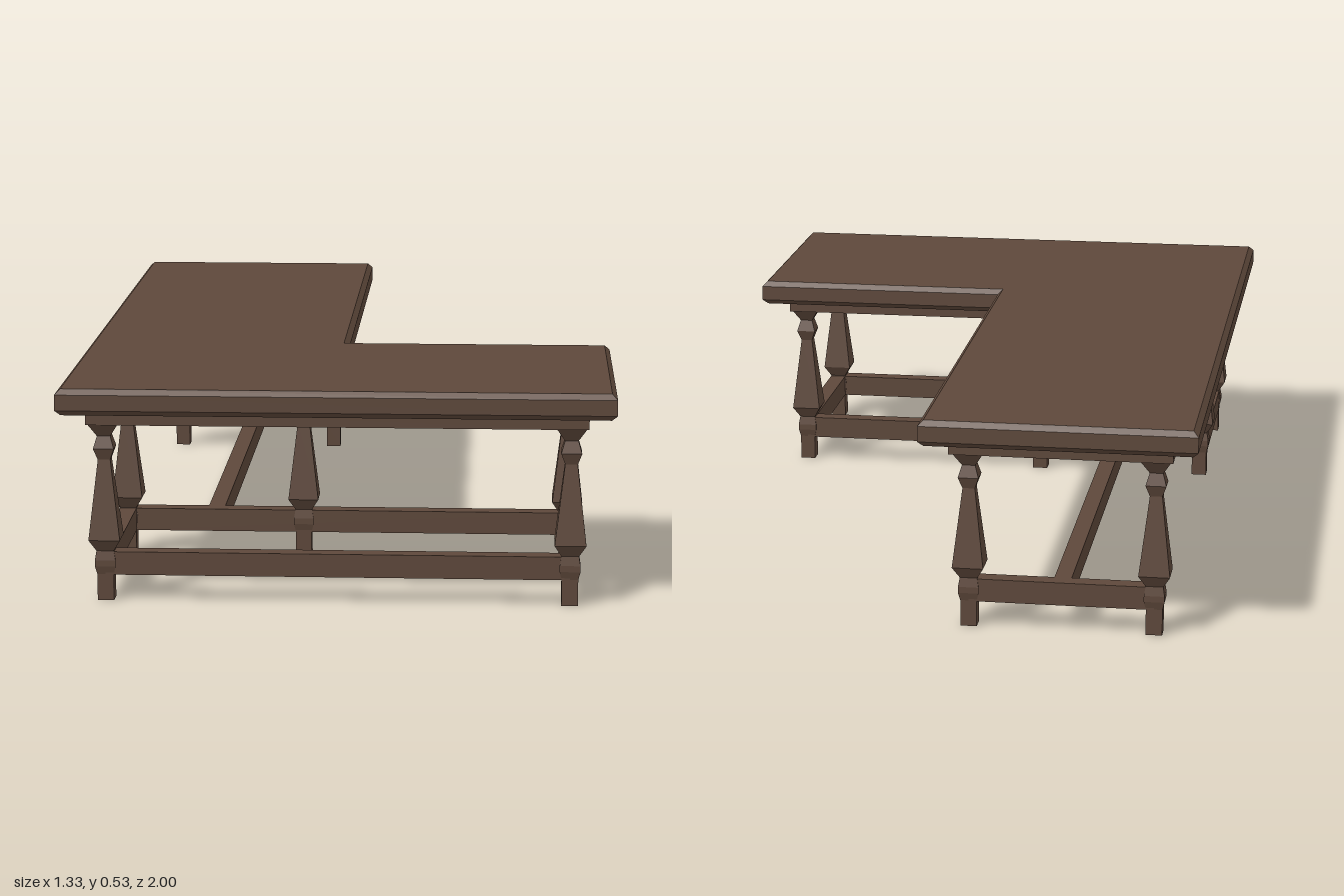
import * as THREE from 'three';

const wood = new THREE.MeshStandardMaterial({ color: 0x5e483b, flatShading: true });

// L-shaped slab from y = bottom to y = top, pulled in from the outer outline by inset
function slab(name, bottom, top, inset, bevel) {
  const w = 0.665 - inset, d = 1 - inset, ix = -inset, iz = 0.335 + inset;
  const outline = [[-w, -d], [ix, -d], [ix, iz], [w, iz], [w, d], [-w, d]];
  const shape = new THREE.Shape(outline.map(([x, z]) => new THREE.Vector2(x, z)));
  const geo = new THREE.ExtrudeGeometry(shape, {
    depth: top - bottom - 2 * bevel,
    bevelEnabled: bevel > 0,
    bevelSize: bevel, bevelOffset: -bevel, bevelThickness: bevel, bevelSegments: 1,
  });
  geo.rotateX(Math.PI / 2);
  geo.translate(0, top - bevel, 0);
  const mesh = new THREE.Mesh(geo, wood);
  mesh.name = name;
  return mesh;
}

// Half-width and height up the square turned leg
const legProfile = [
  [0, 0], [0.02, 0], [0.02, 0.065], [0.025, 0.085], [0.025, 0.1], [0.021, 0.123],
  [0.038, 0.152], [0.015, 0.347], [0.025, 0.375], [0.016, 0.405], [0.036, 0.437], [0, 0.437],
];

function makeLegGeometry() {
  const points = legProfile.map(([r, y]) => new THREE.Vector2(r * Math.SQRT2, y));
  return new THREE.LatheGeometry(points, 4, Math.PI / 4).toNonIndexed();
}

// Horizontal rail between two floor points, along x or z
function rail(name, x0, z0, x1, z1) {
  const t = 0.042;
  const geo = new THREE.BoxGeometry(Math.abs(x1 - x0) || t, 0.057, Math.abs(z1 - z0) || t);
  const mesh = new THREE.Mesh(geo, wood);
  mesh.position.set((x0 + x1) / 2, 0.0925, (z0 + z1) / 2);
  mesh.name = name;
  return mesh;
}

export function createModel() {
  const table = new THREE.Group();
  table.name = 'cornerTable';

  // Top board with chamfered edges, and the smaller board under it
  table.add(slab('tableTop', 0.47, 0.534, 0, 0.013));
  table.add(slab('apron', 0.436, 0.472, 0.064, 0));

  // Legs
  const X = 0.56, M = -0.11, F = 0.898, C = 0.442, B = -0.898;
  const legGeometry = makeLegGeometry();
  for (const [x, z] of [[-X, F], [X, F], [-X, C], [M, C], [X, C], [-X, B], [M, B]]) {
    const leg = new THREE.Mesh(legGeometry, wood);
    leg.position.set(x, 0, z);
    leg.name = 'leg';
    table.add(leg);
  }

  // Rails tying the legs together
  const mid = (M - X) / 2;
  table.add(
    rail('frontRail', -X, F, X, F),
    rail('middleRail', -X, C, X, C),
    rail('rightRail', -X, C, -X, F),
    rail('leftRail', X, C, X, F),
    rail('backRail', -X, B, M, B),
    rail('longRail', mid, B, mid, C),
  );
  return table;
}
